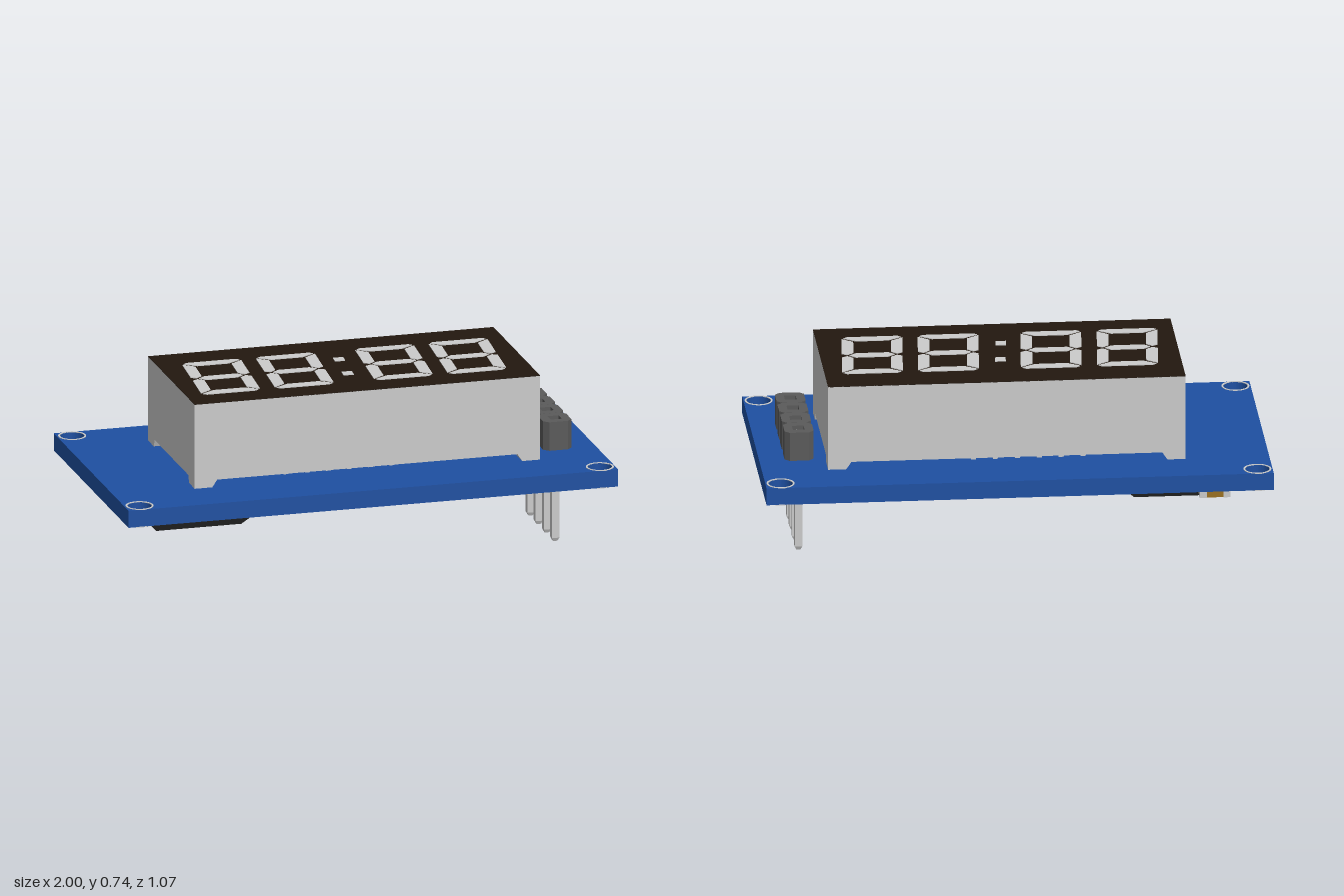
import * as THREE from 'three';

const mat = (color = 0xcccccc) => new THREE.MeshStandardMaterial({ color, flatShading: true });
const GREY = mat(), BLUE = mat(0x1e50a2), BLACK = mat(0x22180f), DARK = mat(0x3c3c3c),
  SOCKET = mat(0x5a5a5a), TAN = mat(0x9a7020);

export function createModel() {
  const model = new THREE.Group();
  const LOW = 0.315, TOP = 0.385; // underside and upper face of the board

  const add = (name, geometry, material, x = 0, y = 0, z = 0, parent = model) => {
    const mesh = new THREE.Mesh(geometry, material);
    mesh.name = name;
    mesh.position.set(x, y, z);
    parent.add(mesh);
    return mesh;
  };
  const group = (name) => {
    const g = new THREE.Group();
    g.name = name;
    model.add(g);
    return g;
  };
  // box given by its limits
  const block = (name, m, x0, x1, y0, y1, z0, z1, parent) =>
    add(name, new THREE.BoxGeometry(x1 - x0, y1 - y0, z1 - z0), m,
      (x0 + x1) / 2, (y0 + y1) / 2, (z0 + z1) / 2, parent);
  const polygon = (pts) => new THREE.Shape(pts.map(([x, y]) => new THREE.Vector2(x, y)));
  // plan outline (x, -z) raised upwards
  const slab = (shapes, depth, curveSegments = 24) =>
    new THREE.ExtrudeGeometry(shapes, { depth, bevelEnabled: false, curveSegments }).rotateX(-Math.PI / 2);
  const circle = (x, y, r) => new THREE.Path().absarc(x, y, r, 0, Math.PI * 2, true);

  // Board with four plated mounting holes
  const outline = polygon([[-1, -0.535], [1, -0.535], [1, 0.535], [-1, 0.535]]);
  const rings = group('mountingRings');
  for (const x of [-0.94, 0.94]) for (const z of [-0.482, 0.482]) {
    outline.holes.push(circle(x, -z, 0.048));
    const ring = new THREE.Shape().absarc(0, 0, 0.055, 0, Math.PI * 2, false);
    ring.holes.push(circle(0, 0, 0.048));
    for (const y of [LOW - 0.002, TOP - 0.001]) add('mountingRing', slab(ring, 0.003), GREY, x, y, z, rings);
  }
  add('board', slab(outline, TOP - LOW), BLUE, 0, LOW, 0);

  // Display housing, raised on four tapered corner feet
  const display = group('display');
  const X0 = -0.67, X1 = 0.74, Z0 = -0.34, Z1 = 0.325;
  block('housing', GREY, X0, X1, 0.415, 0.73, Z0, Z1, display);
  for (const sx of [-1, 1]) for (const sz of [-1, 1]) {
    const foot = new THREE.BoxGeometry(0.092, 0.03, 0.092);
    const p = foot.attributes.position;
    for (let i = 0; i < p.count; i++) {
      if (p.getY(i) > 0) continue;
      if (p.getX(i) * sx < 0) p.setX(i, p.getX(i) + sx * 0.02);
      if (p.getZ(i) * sz < 0) p.setZ(i, p.getZ(i) + sz * 0.012);
    }
    add('housingFoot', foot, GREY, sx < 0 ? X0 + 0.046 : X1 - 0.046, 0.4,
      sz < 0 ? Z0 + 0.046 : Z1 - 0.046, display);
  }
  block('facePlate', BLACK, X0, X1, 0.729, 0.732, Z0, Z1, display);

  // Slanted seven-segment digits and colon
  const W = 0.12, H = 0.21, T = 0.05, G = 0.006, SLANT = 0.085;
  const skew = (pts) => polygon(pts.map(([x, y]) => [x + SLANT * y, y]));
  const segments = [];
  for (const s of [-1, 1]) {
    // top and bottom bars
    segments.push(skew([[-W + 0.02, s * H], [W - 0.02, s * H], [W - G, s * (H - 0.012)],
      [W - T - G, s * (H - T + 0.004)], [-W + T + G, s * (H - T + 0.004)], [-W + G, s * (H - 0.012)]]));
    // side bars
    for (const t of [-1, 1])
      segments.push(skew([[s * W, t * (H - 0.02)], [s * (W - T + 0.004), t * (H - T - G)],
        [s * (W - T + 0.004), t * 0.03], [s * (W - 0.022), t * 0.008], [s * W, t * 0.022]]));
  }
  segments.push(skew([[-W + 0.03, 0], [-W + T + G, 0.023], [W - T - G, 0.023],
    [W - 0.03, 0], [W - T - G, -0.023], [-W + T + G, -0.023]]));
  const digit = slab(segments, 0.004);
  for (const x of [-0.471, -0.17, 0.235, 0.535]) add('digit', digit, GREY, x, 0.731, 0.006, display);
  const dot = slab(skew([[-0.021, -0.022], [0.021, -0.022], [0.021, 0.022], [-0.021, 0.022]]), 0.004);
  add('colonDot', dot, GREY, 0.038, 0.731, -0.09, display);
  add('colonDot', dot, GREY, 0.02, 0.731, 0.097, display);

  // Display pins with small solder points below the board
  for (const z of [-0.262, 0.228]) for (let i = 0; i < 6; i++) {
    const x = -0.272 + i * 0.0864;
    block('displayPin', GREY, x - 0.01, x + 0.01, LOW, 0.42, z - 0.01, z + 0.01, display);
    add('displaySolder', new THREE.CylinderGeometry(0.012, 0.003, 0.02, 8), GREY, x, LOW - 0.01, z, display);
  }

  // Four-way header: chamfered sockets and long pins
  const header = group('pinHeader');
  const a = 0.0575, c = 0.038, h = 0.023;
  const socket = polygon([[-a, -c], [-c, -a], [c, -a], [a, -c], [a, c], [c, a], [-c, a], [-a, c]]);
  socket.holes.push(new THREE.Path([[-h, -h], [-h, h], [h, h], [h, -h]].map(([x, y]) => new THREE.Vector2(x, y))));
  const socketGeo = slab(socket, 0.117);
  const tip = new THREE.CylinderGeometry(0.0212, 0.012, 0.014, 4).rotateY(Math.PI / 4);
  const topTip = new THREE.CylinderGeometry(0.011, 0.0212, 0.014, 4).rotateY(Math.PI / 4);
  const solder = new THREE.CylinderGeometry(0.028, 0.018, 0.022, 12);
  for (let i = 0; i < 4; i++) {
    const x = 0.843, z = (i - 1.5) * 0.117;
    add('socket', socketGeo, SOCKET, x, TOP + 0.003, z, header);
    block('pin', GREY, x - 0.015, x + 0.015, 0.014, 0.48, z - 0.015, z + 0.015, header);
    add('pinTip', tip, GREY, x, 0.007, z, header);
    add('pinTop', topTip, GREY, x, 0.487, z, header);
    add('pinSolder', solder, GREY, x, LOW - 0.011, z, header);
  }

  // Driver chip with bevelled body and ten sloping leads per side
  const chip = group('chip');
  const CX = -0.645;
  const body = new THREE.BoxGeometry(0.424, 3, 0.664, 1, 3, 1);
  const levels = [[0.215, 0.038], [0.258, 0], [0.28, 0], [0.314, 0.025]];
  const bp = body.attributes.position;
  for (let i = 0; i < bp.count; i++) {
    const [y, inset] = levels[Math.round(bp.getY(i) + 1.5)];
    bp.setXYZ(i, bp.getX(i) - Math.sign(bp.getX(i)) * inset, y, bp.getZ(i) - Math.sign(bp.getZ(i)) * inset);
  }
  add('chipBody', body, DARK, CX, 0, 0, chip);
  const leadShape = polygon([[0.195, 0.268], [0.215, 0.268], [0.26, 0.309], [0.26, 0.316],
    [0.242, 0.316], [0.209, 0.283], [0.195, 0.283]]);
  const lead = new THREE.ExtrudeGeometry(leadShape, { depth: 0.026, bevelEnabled: false }).translate(0, 0, -0.013);
  for (const turn of [0, Math.PI]) for (let i = 0; i < 10; i++)
    add('chipLead', lead, GREY, CX, 0, (i - 4.5) * 0.0585, chip).rotation.y = turn;

  // Small two-ended components on the underside
  const parts = group('smallComponents');
  const chipPart = (name, m, x, z, length, depth, height) => {
    const l = length / 2, d = depth / 2, e = l * 0.45, y0 = LOW - height;
    block(name, m, x - l + e, x + l - e, y0 + 0.001, LOW, z - d + 0.001, z + d - 0.001, parts);
    for (const s of [-1, 1]) {
      const mid = x + s * (l - e / 2);
      block(name + 'End', GREY, mid - e / 2, mid + e / 2, y0, LOW, z - d, z + d, parts);
    }
  };
  for (const x of [-0.145, 0.03]) {
    chipPart('capacitor', TAN, x, 0.037, 0.092, 0.045, 0.032);
    chipPart('resistor', BLACK, x, -0.055, 0.092, 0.045, 0.03);
  }
  chipPart('largeCapacitor', TAN, -0.775, -0.437, 0.12, 0.057, 0.05);
  chipPart('sideCapacitor', TAN, -0.775, -0.368, 0.092, 0.04, 0.032);

  return model;
}
